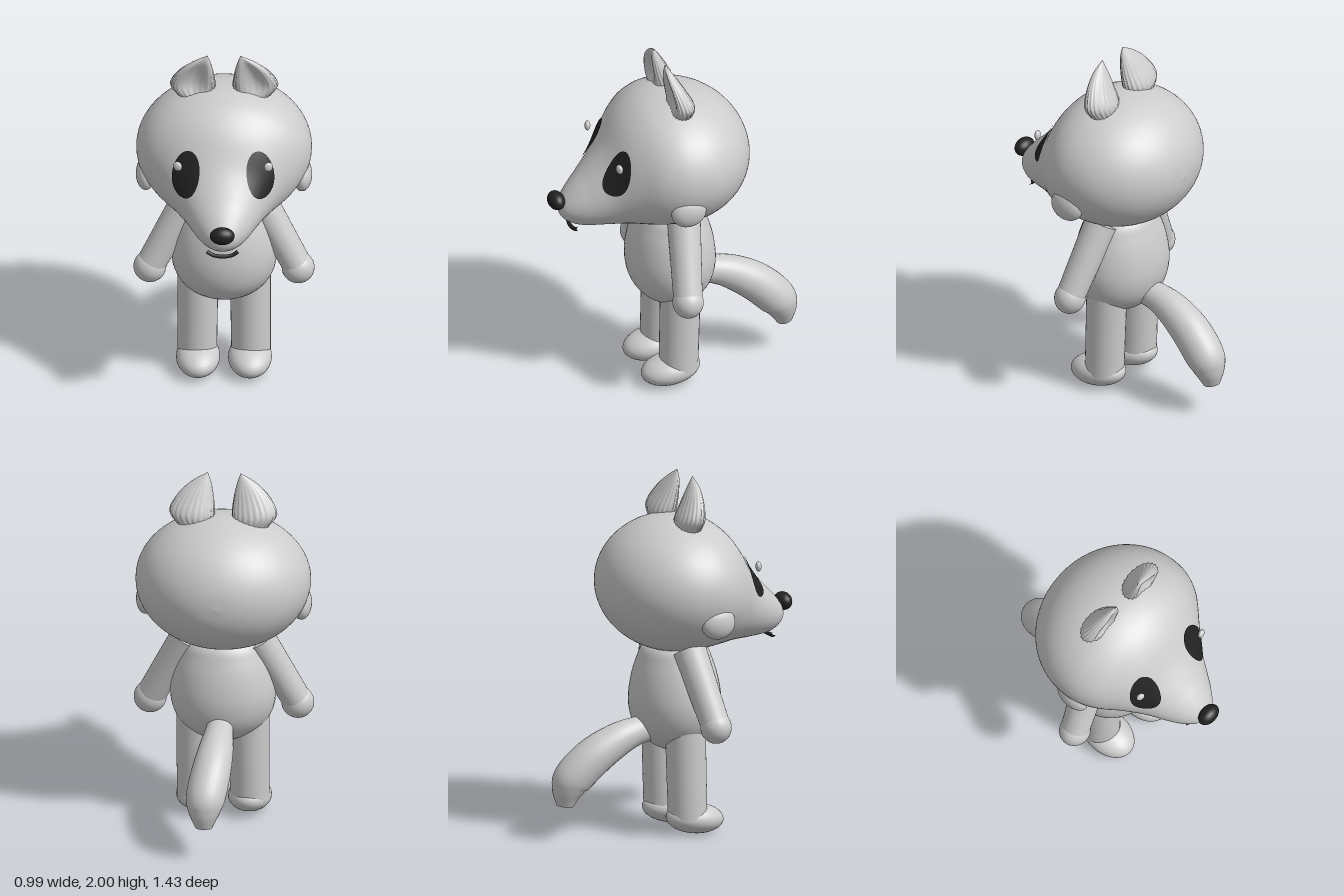
import * as THREE from 'three';

const V = (x, y, z) => new THREE.Vector3(x, y, z);
const curve = (rows) => new THREE.CatmullRomCurve3(rows.map((r) => V(...r)), false, 'catmullrom', 0.5);

// Closed-ring surface: point(t, angle) gives a vertex; side -1 mirrors it in x
function loft(rings, segments, point, side = 1) {
  const pos = [], index = [];
  for (let i = 0; i <= rings; i++) {
    for (let j = 0; j < segments; j++) {
      const p = point(i / rings, (side * j / segments) * Math.PI * 2);
      pos.push(p.x * side, p.y, p.z);
      if (i === rings) continue;
      const k = (j + 1) % segments, a = i * segments, b = a + segments;
      index.push(a + j, a + k, b + k, a + j, b + k, b + j);
    }
  }
  const g = new THREE.BufferGeometry();
  g.setAttribute('position', new THREE.Float32BufferAttribute(pos, 3));
  g.setIndex(index);
  g.computeVertexNormals();
  return g;
}

// Head sections along z: [z, half width, top, bottom]
const sections = [];
for (let i = 0; i <= 6; i++) {
  const a = (i / 6) * Math.PI / 2, r = Math.sin(a);
  sections.push([-0.43 * Math.cos(a), 0.48 * r, 1.39 + 0.385 * r, 1.39 - 0.375 * r]);
}
sections.push(
  [0.1, 0.468, 1.762, 1.02], [0.2, 0.42, 1.72, 1.03], [0.3, 0.33, 1.63, 1.038],
  [0.4, 0.24, 1.475, 1.04], [0.5, 0.175, 1.36, 1.045], [0.56, 0.135, 1.3, 1.055],
  [0.61, 0.093, 1.245, 1.08], [0.64, 0.055, 1.2, 1.11], [0.652, 0, 1.155, 1.155]);
const widthCurve = curve(sections.map((s) => [s[0], s[1], 0]));
const heightCurve = curve(sections.map((s) => [s[0], s[2], s[3]]));
function section(t) {
  const a = widthCurve.getPoint(t), b = heightCurve.getPoint(t);
  return { z: a.x, w: Math.max(a.y, 0), y: (b.y + b.z) / 2, h: Math.max((b.y - b.z) / 2, 0) };
}
function headPoint(t, a) {
  const s = section(t);
  return V(s.w * Math.cos(a), s.y + s.h * Math.sin(a), s.z);
}
// Front surface of the head at a given x, y
function headZ(x, y) {
  let lo = 0.4, hi = 1;
  for (let i = 0; i < 30; i++) {
    const m = (lo + hi) / 2, s = section(m);
    if ((x / s.w) ** 2 + ((y - s.y) / s.h) ** 2 < 1) lo = m; else hi = m;
  }
  return section(lo).z;
}

// Ear: inner edge, outer edge and depth from base to tip
const earInner = curve([[0.07, 1.73, 0], [0.05, 1.78, 0], [0.055, 1.86, 0], [0.07, 1.94, 0], [0.09, 2, 0]]);
const earOuter = curve([[0.24, 1.71, 0], [0.293, 1.79, 0], [0.25, 1.88, 0], [0.175, 1.95, 0], [0.09, 2, 0]]);
const earDepth = curve([[0, 0.065, 0], [0.008, 0.074, 0], [0.033, 0.055, 0], [0.054, 0.03, 0], [0.063, 0, 0]]);
function earPoint(t, a) {
  const p = earInner.getPoint(t), q = earOuter.getPoint(t), d = earDepth.getPoint(t);
  const c = Math.cos(a), s = Math.sin(a);
  const scallop = 1 + 0.035 * Math.cos(22 * a) * (1 - t);
  const dent = s < 0 ? 1 - 0.85 * Math.sin(Math.PI * t) * s ** 4 : 1;
  const m = p.clone().lerp(q, 0.5 + 0.5 * c * scallop);
  return V(m.x, m.y, d.x - d.y * s * scallop * dent);
}

// Tail path and thickness
const tailPath = curve([[0, 0.59, -0.14], [0, 0.575, -0.25], [0.005, 0.535, -0.36], [0.02, 0.455, -0.49],
  [0.04, 0.35, -0.6], [0.045, 0.28, -0.635], [0.045, 0.19, -0.652]]);
const tailSize = curve([[0.07, 0, 0], [0.08, 0, 0], [0.095, 0, 0], [0.108, 0, 0], [0.108, 0, 0], [0.088, 0, 0], [0.045, 0, 0]]);
function tailPoint(t, a) {
  const T = tailPath.getTangent(t), X = V(1, 0, 0).addScaledVector(T, -T.x).normalize();
  const Y = T.clone().cross(X), r = tailSize.getPoint(t).x;
  return tailPath.getPoint(t).addScaledVector(X, r * Math.cos(a)).addScaledVector(Y, r * Math.sin(a));
}

export function createModel() {
  const model = new THREE.Group();
  const fur = new THREE.MeshStandardMaterial({ color: 0xcccccc });
  fur.name = 'light grey';
  const dark = new THREE.MeshStandardMaterial({ color: 0x222222 });
  dark.name = 'black';

  const add = (name, geometry, material = fur) => {
    const mesh = new THREE.Mesh(geometry, material);
    mesh.name = name;
    model.add(mesh);
    return mesh;
  };
  const ellipsoid = (name, center, radii, material = fur) => {
    const mesh = add(name, new THREE.SphereGeometry(1, 32, 20), material);
    mesh.position.set(...center);
    mesh.scale.set(...radii);
    return mesh;
  };
  // Tapered cylinder between two points
  const limb = (name, from, to, r0, r1) => {
    const d = to.clone().sub(from);
    const mesh = add(name, new THREE.CylinderGeometry(r1, r0, d.length(), 32));
    mesh.position.copy(from).addScaledVector(d, 0.5);
    mesh.quaternion.setFromUnitVectors(V(0, 1, 0), d.normalize());
  };

  // Head with snout, nose and mouth
  add('head', loft(72, 64, headPoint));
  ellipsoid('nose', [0, 1.21, 0.665], [0.068, 0.05, 0.046], dark);
  const smile = curve([[-0.085, 1.055, 0.567], [-0.05, 1.037, 0.577], [0, 1.032, 0.582], [0.05, 1.037, 0.577], [0.085, 1.055, 0.567]]);
  add('mouth', new THREE.TubeGeometry(smile, 24, 0.011, 8), dark);

  // Body
  const profile = [[0, 0.45], [0.1, 0.468], [0.2, 0.525], [0.265, 0.61], [0.29, 0.72], [0.277, 0.84],
    [0.238, 0.96], [0.18, 1.05], [0, 1.11]].map((p) => new THREE.Vector2(...p));
  const body = add('body', new THREE.LatheGeometry(new THREE.SplineCurve(profile).getPoints(40), 48));
  body.scale.z = 0.845;

  // Tail with flat tip
  add('tail', loft(40, 28, tailPoint));
  const tip = add('tailTip', new THREE.CircleGeometry(0.045, 28));
  tip.position.copy(tailPath.getPoint(1));
  tip.quaternion.setFromUnitVectors(V(0, 0, 1), tailPath.getTangent(1));

  for (const s of [1, -1]) {
    const side = s > 0 ? 'left' : 'right';

    add(side + 'Ear', loft(28, 132, earPoint, s));
    ellipsoid(side + 'Cheek', [s * 0.427, 1.245, 0.05], [0.055, 0.09, 0.1]);

    // Eye patch lying on the face, with a small glint
    const eyePoint = (t, a) => {
      const r = 1 - t, u = 0.072 * r * Math.cos(a), v = 0.122 * r * Math.sin(a), tilt = 0.25;
      const x = 0.2 + u * Math.cos(tilt) - v * Math.sin(tilt) * -s * s * -1 * -1;
      const y = 1.428 + v * Math.cos(tilt) - u * Math.sin(tilt) * -s * s * -1;
      return V(x + 0.003, y + 0.002, headZ(x, y) + 0.006);
    };
    add(side + 'Eye', loft(12, 48, (t, a) => {
      const r = 1 - t, u = 0.072 * r * Math.cos(a), v = 0.122 * r * Math.sin(a);
      const x = 0.2 + u * 0.97 - v * 0.25, y = 1.428 + v * 0.97 + u * 0.25;
      return V(x + 0.004, y + 0.002, headZ(x, y) + 0.006);
    }, s), dark);
    ellipsoid(side + 'EyeGlint', [s * 0.248, 1.488, 0.388], [0.025, 0.028, 0.016]).rotation.y = s * 0.3;

    // Arm and hand
    limb(side + 'Arm', V(s * 0.195, 1.05, -0.008), V(s * 0.4, 0.67, 0.045), 0.092, 0.08);
    ellipsoid(side + 'Hand', [s * 0.405, 0.655, 0.047], [0.09, 0.09, 0.085]);

    // Leg and foot
    limb(side + 'Leg', V(s * 0.147, 0.1, 0.005), V(s * 0.143, 0.62, -0.008), 0.108, 0.112);
    ellipsoid(side + 'Foot', [s * 0.142, 0.089, 0.05], [0.12, 0.084, 0.168]).rotation.x = 0.12;
  }
  return model;
}
